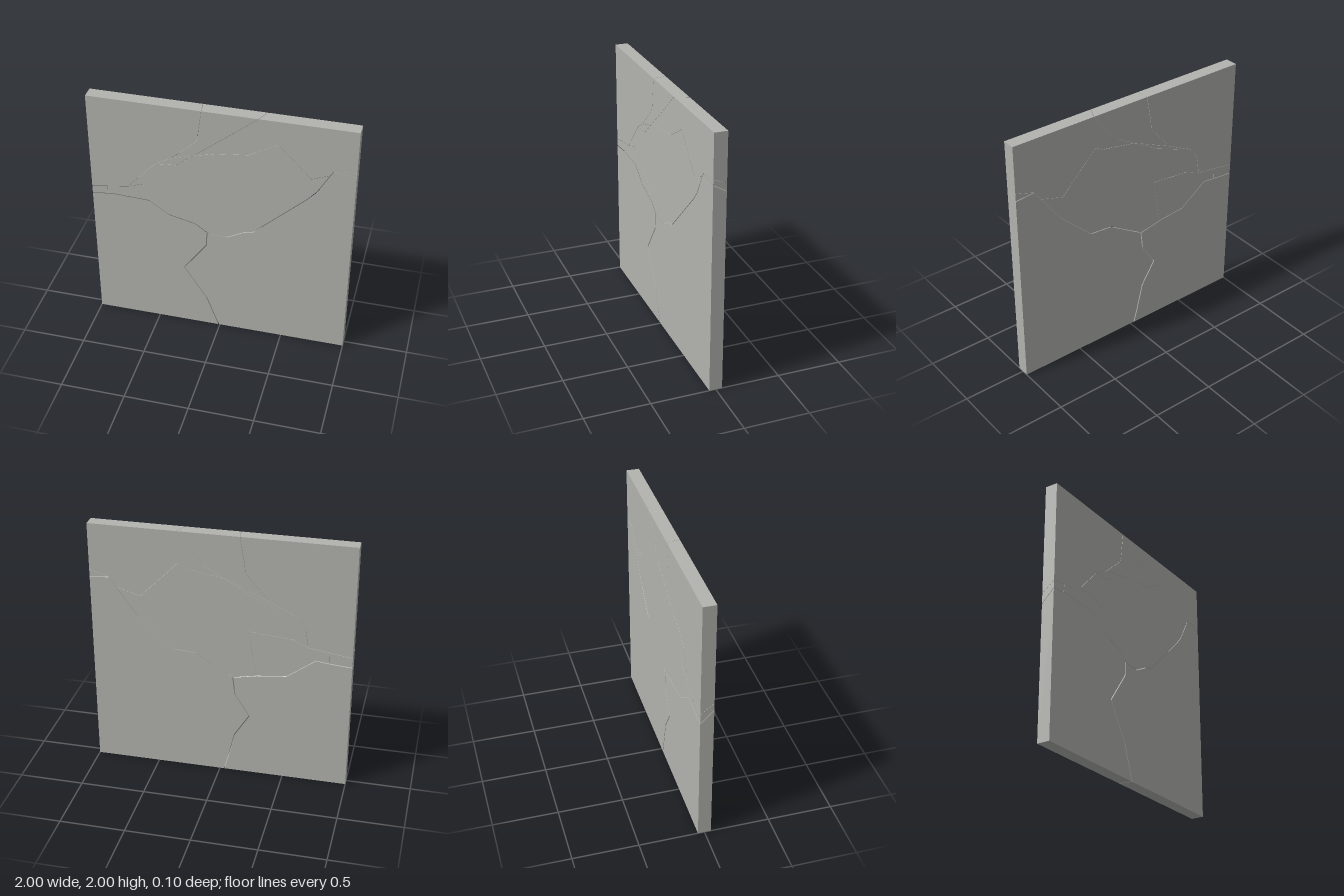
import * as THREE from 'three';

const HALF = 0.05; // half the slab thickness

// Crack corners: [front x, front y, back x, back y]
const P = {
  // outer corners
  bl: [-1, 0, -1, 0], br: [1, 0, 1, 0], tr: [1, 2, 1, 2], tl: [-1, 2, -1, 2],
  // main crack, left to right
  m0: [-1, 1.14, -1, 1.04], m1: [-0.885, 1.152, -0.83, 1.053], m2: [-0.83, 1.157, -0.728, 1.066],
  m3: [-0.55, 1.145, -0.62, 0.985], m4: [-0.4, 1.04, -0.51, 0.905], m5: [-0.19, 0.99, -0.28, 0.88],
  m6: [-0.1, 0.925, -0.1, 0.843], m7: [-0.08, 0.91, -0.08, 0.857], m8: [0.06, 0.91, 0.05, 0.936],
  m9: [0.19, 0.98, 0.185, 1.02], m10: [0.25, 0.99, 0.374, 1.035], m11: [0.65, 1.37, 0.63, 1.28],
  m12: [0.72, 1.45, 0.72, 1.4], m13: [0.81, 1.61, 0.79, 1.504], m14: [0.83, 1.645, 0.85, 1.583],
  m15: [1, 1.625, 1, 1.57],
  // lower crack, top to bottom
  d1: [-0.105, 0.8, -0.117, 0.696], d2: [-0.285, 0.545, -0.23, 0.516],
  d3: [-0.105, 0.26, -0.117, 0.335], d4: [-0.05, 0.11, -0.064, 0.11], d5: [-0.01, 0, -0.034, 0],
  // upper left crack, left edge to top edge
  u0: [-1, 1.2, -1, 1.12], u1: [-0.88, 1.22, -0.83, 1.143], u2: [-0.715, 1.245, -0.668, 1.167],
  u3: [-0.63, 1.34, -0.645, 1.31], u4: [-0.49, 1.49, -0.6, 1.4], u5: [-0.37, 1.56, -0.366, 1.515],
  u6: [-0.18, 1.73, -0.19, 1.72], u7: [-0.165, 1.77, -0.182, 1.79], u8: [-0.135, 2, -0.147, 2],
  // diagonal crack to the top edge
  s0: [-0.2, 1.61, -0.034, 1.66], s1: [0.05, 1.81, 0.13, 1.755], s2: [0.28, 2, 0.328, 2],
  k: [-0.33, 1.505, -0.25, 1.535],
  // zigzag crack to the right edge
  t1: [-0.03, 1.655, 0.1, 1.685], t2: [0.21, 1.685, 0.25, 1.71], t3: [0.43, 1.81, 0.32, 1.746],
  t4: [0.675, 1.555, 0.61, 1.45], t5: [1, 1.665, 1, 1.63],
  // branch inside the slab
  w1: [-0.59, 1.29, -0.55, 1.22], w2: [-0.38, 1.23, -0.22, 1.25],
};

// Pieces as counter-clockwise loops, with the gap left along their cracks
const pieces = [
  ['lowerLeftPiece', 0.004, 'bl d5 d4 d3 d2 d1 m6 m5 m4 m3 m2 m1 m0'],
  ['lowerRightPiece', 0.004, 'd5 br m15 m14 m13 m12 m11 m10 m9 m8 m7 m6 d1 d2 d3 d4'],
  ['centrePiece', 0.001, 'm5 m6 m7 m8 m9 m10 m11 m12 m13 t4 t3 t2 t1 s0 k u4 u3 u2 w1 w2'],
  ['leftSliver', 0.001, 'm0 m1 u1 u0'],
  ['leftWedge', 0.001, 'm1 m2 m3 m4 m5 w2 w1 u2 u1'],
  ['upperLeftPiece', 0.001, 'u0 u1 u2 u3 u4 u5 u6 u7 u8 tl'],
  ['middleSliver', 0.001, 'u4 k s0 u5'],
  ['topPiece', 0.001, 'u5 s0 s1 s2 u8 u7 u6'],
  ['upperRightPiece', 0.001, 's0 t1 t2 t3 t4 m13 m14 t5 tr s2 s1'],
  ['rightSliver', 0.001, 'm14 m15 t5'],
];

// An edge lying on the slab outline keeps its place
function onOutline(a, b) {
  return (a.x === b.x && Math.abs(a.x) === 1) || (a.y === b.y && (a.y === 0 || a.y === 2));
}

// Move every cracked edge inward by the gap, with mitred corners
function inset(loop, gap) {
  return loop.map((p, i) => {
    const a = loop[(i + loop.length - 1) % loop.length], b = loop[(i + 1) % loop.length];
    const d1 = p.clone().sub(a).normalize(), d2 = b.clone().sub(p).normalize();
    const g1 = onOutline(a, p) ? 0 : gap, g2 = onOutline(p, b) ? 0 : gap;
    const n1 = new THREE.Vector2(-d1.y, d1.x), n2 = new THREE.Vector2(-d2.y, d2.x);
    const det = n1.x * n2.y - n1.y * n2.x;
    const move = Math.abs(det) < 0.1
      ? n1.multiplyScalar(g1)
      : new THREE.Vector2((g1 * n2.y - g2 * n1.y) / det, (g2 * n1.x - g1 * n2.x) / det);
    return p.clone().add(move.clampLength(0, gap * 4));
  });
}

// Solid joining a front outline to a shifted back outline
function pieceGeometry(names, gap) {
  const pts = names.split(' ').map((n) => P[n]);
  const front = inset(pts.map((p) => new THREE.Vector2(p[0], p[1])), gap);
  const back = inset(pts.map((p) => new THREE.Vector2(p[2], p[3])), gap);
  const pos = [];
  const put = (p, z) => pos.push(p.x, p.y, z);
  for (const [a, b, c] of THREE.ShapeUtils.triangulateShape(front, [])) {
    put(front[a], HALF); put(front[b], HALF); put(front[c], HALF);
  }
  for (const [a, b, c] of THREE.ShapeUtils.triangulateShape(back, [])) {
    put(back[a], -HALF); put(back[c], -HALF); put(back[b], -HALF);
  }
  for (let i = 0; i < front.length; i++) {
    const j = (i + 1) % front.length;
    put(front[i], HALF); put(back[i], -HALF); put(back[j], -HALF);
    put(front[i], HALF); put(back[j], -HALF); put(front[j], HALF);
  }
  const geo = new THREE.BufferGeometry();
  geo.setAttribute('position', new THREE.Float32BufferAttribute(pos, 3));
  geo.computeVertexNormals();
  return geo;
}

export function createModel() {
  const group = new THREE.Group();
  group.name = 'crackedSlab';
  const stone = new THREE.MeshStandardMaterial({ color: 0xb2b2ae });
  stone.name = 'stone grey';
  for (const [name, gap, names] of pieces) {
    const mesh = new THREE.Mesh(pieceGeometry(names, gap), stone);
    mesh.name = name;
    group.add(mesh);
  }
  return group;
}
